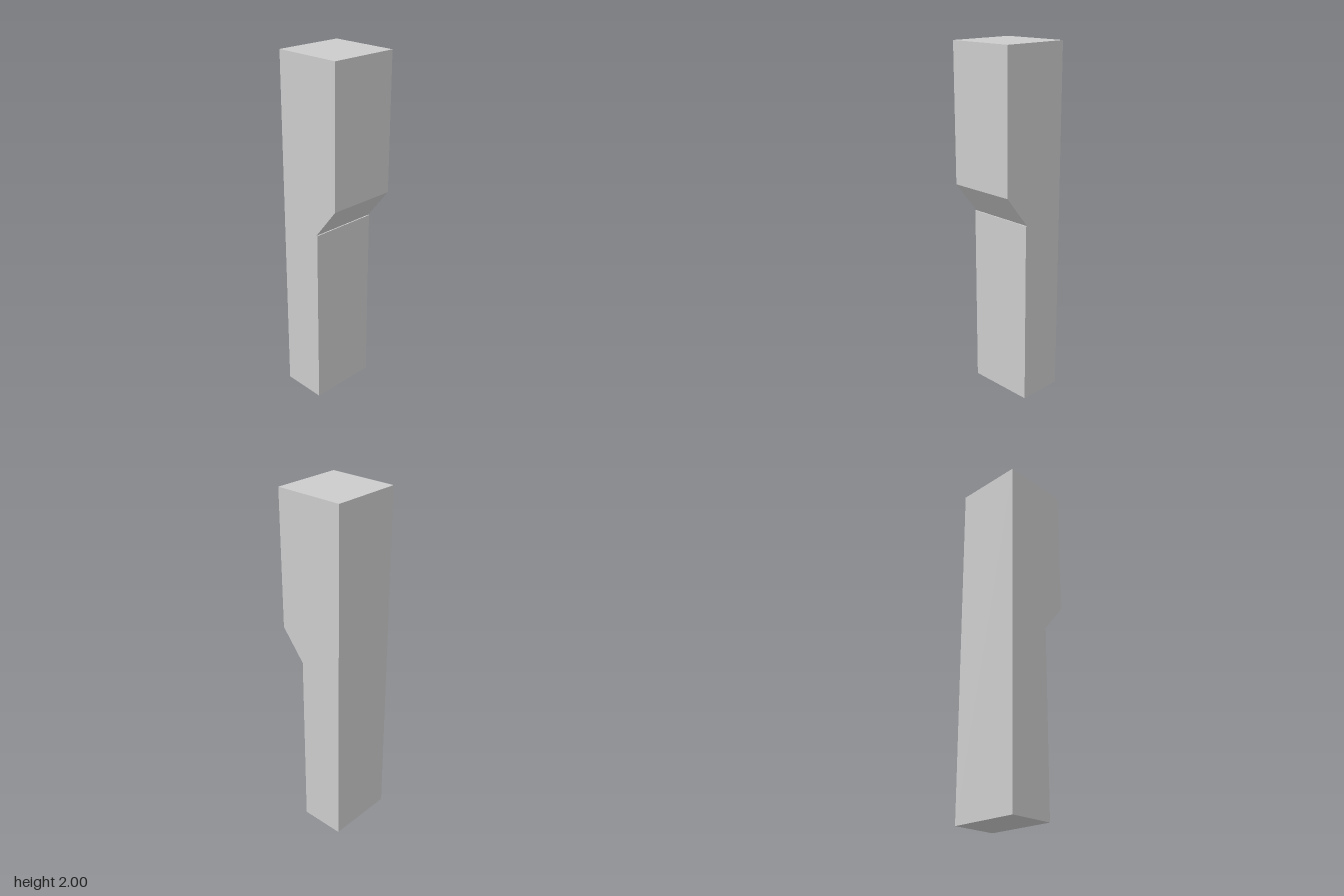
import * as THREE from 'three';

const WIDTH = 0.4;

export function createModel() {
  const group = new THREE.Group();
  group.name = 'notchedPost';

  // Side profile as (z, y): thick head, sloped shoulder with a tiny ledge, thinner shaft
  const profile = new THREE.Shape([
    [-0.2, 0], [0.063, 0], [0.063, 1.05], [0.056, 1.05],
    [0.2, 1.23], [0.2, 2], [-0.2, 2],
  ].map(([z, y]) => new THREE.Vector2(z, y)));

  // Extrude across the width, then turn the profile to face +z
  const geometry = new THREE.ExtrudeGeometry(profile, { depth: WIDTH, bevelEnabled: false });
  geometry.translate(0, 0, -WIDTH / 2);
  geometry.rotateY(-Math.PI / 2);

  const post = new THREE.Mesh(
    geometry,
    new THREE.MeshStandardMaterial({ color: 0xcccccc, flatShading: true }),
  );
  post.name = 'post';
  group.add(post);
  return group;
}
